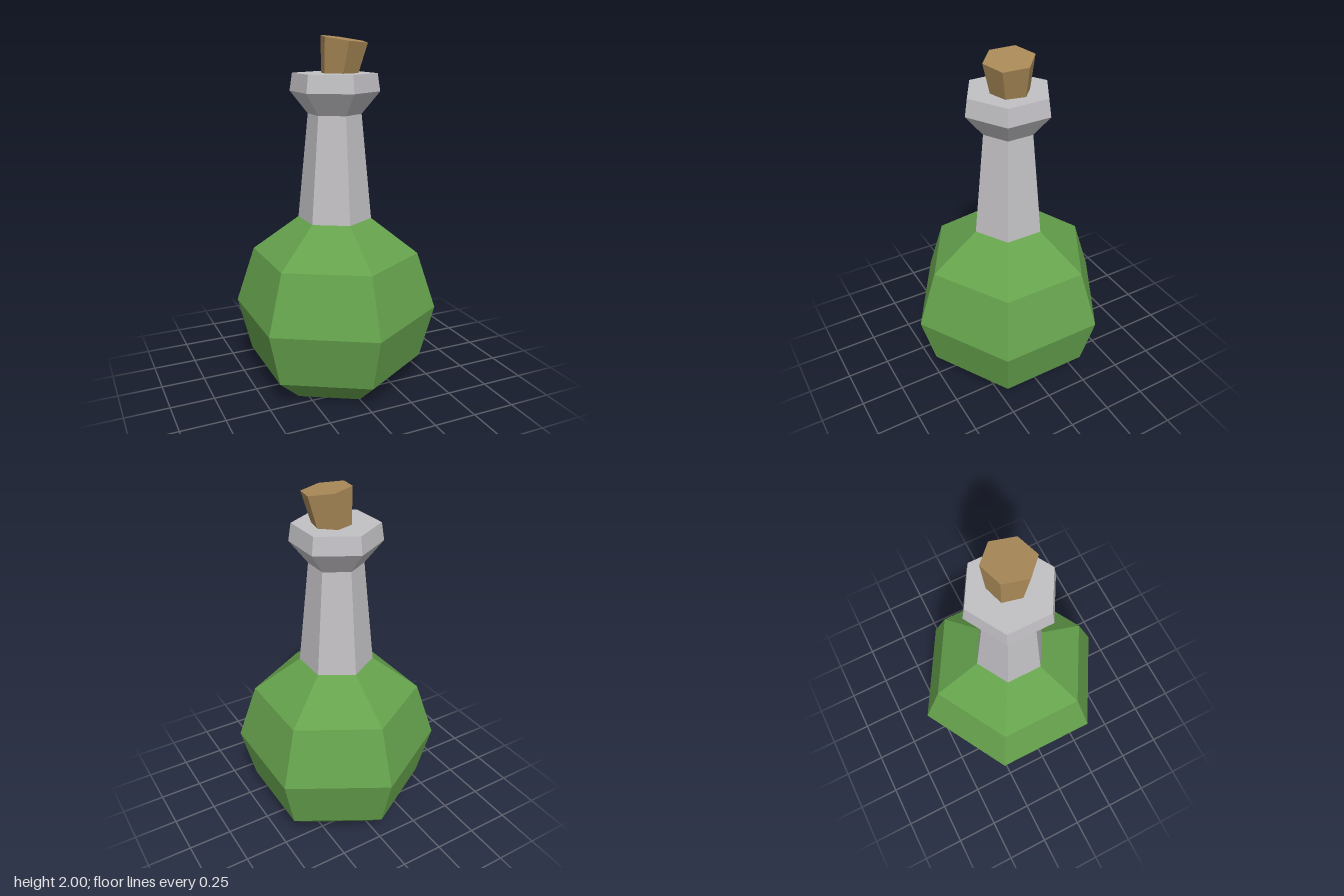
import * as THREE from 'three';

const mat = (name, color) => {
  const m = new THREE.MeshStandardMaterial({ color, flatShading: true });
  m.name = name;
  return m;
};

// Six-sided solid of revolution with a corner facing the front
function hexLathe(name, profile, material) {
  const points = profile.map(([r, y]) => new THREE.Vector2(r, y));
  const mesh = new THREE.Mesh(new THREE.LatheGeometry(points, 6), material);
  mesh.name = name;
  return mesh;
}

export function createModel() {
  const group = new THREE.Group();
  group.name = 'potionBottle';
  const green = mat('green liquid', 0x66a34d);
  const glass = mat('grey glass', 0xc2c0c4);
  const corkBrown = mat('cork brown', 0xaa8a58);

  // Round flask body with flat base
  group.add(hexLathe('body', [
    [0, 0], [0.35, 0], [0.51, 0.145], [0.59, 0.455], [0.48, 0.785], [0.21, 0.987],
  ], green));

  // Tapered neck
  group.add(hexLathe('neck', [[0.21, 0.987], [0.15, 1.58]], glass));

  // Flared lip with closed top
  group.add(hexLathe('lip', [[0.15, 1.58], [0.25, 1.703], [0.235, 1.8], [0, 1.8]], glass));

  // Cork leaning towards the front left, its top centred on the pivot
  const height = 0.28;
  const corkGeometry = new THREE.CylinderGeometry(0.136, 0.09, height, 6);
  corkGeometry.rotateY(THREE.MathUtils.degToRad(-13));
  corkGeometry.translate(0, -height / 2, 0);
  const cork = new THREE.Mesh(corkGeometry, corkBrown);
  cork.name = 'cork';
  cork.position.set(0.046, 1.98, 0.021);
  cork.quaternion.setFromUnitVectors(
    new THREE.Vector3(0, 1, 0),
    new THREE.Vector3(0.11, 1, 0.105).normalize(),
  );
  group.add(cork);

  return group;
}
